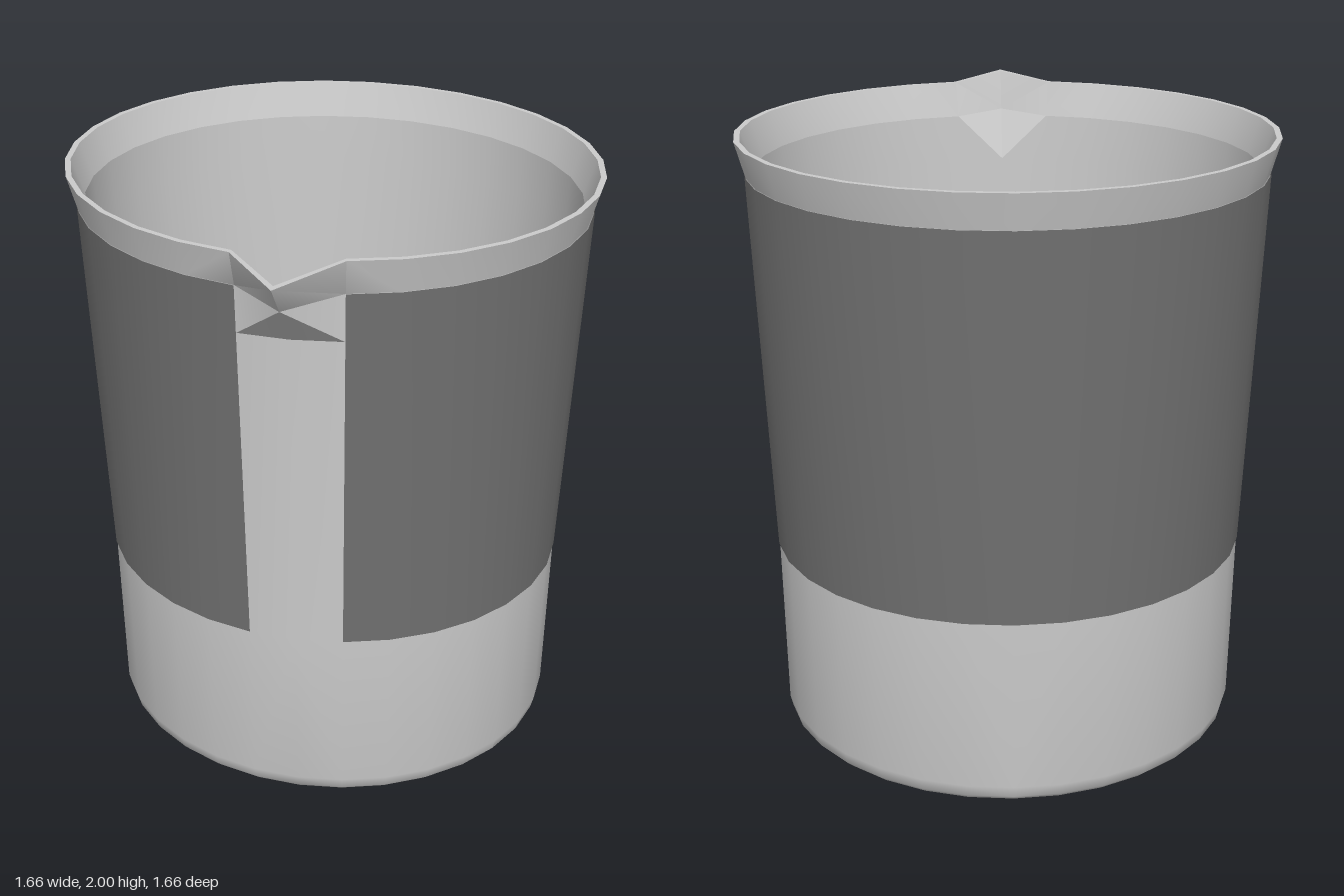
import * as THREE from 'three';
import { toCreasedNormals } from 'three/addons/utils/BufferGeometryUtils.js';

const SIDES = 32;
const DEPTH = 0.88;      // oval: depth relative to width
const CENTRE_Z = -0.1;   // the vessel sits back to make room for the spout

// Point on an oval ring. Column 0 is the front; frontZ pulls it out into the spout.
function ringPoint([y, r, frontZ], column) {
  const a = (column / SIDES) * Math.PI * 2;
  const atFront = column % SIDES === 0;
  const z = atFront && frontZ !== undefined ? frontZ : CENTRE_Z + DEPTH * r * Math.cos(a);
  return [r * Math.sin(a), y, z];
}

// Skin a list of rings [y, radius, frontZ] between two columns
function skin(name, rings, material, first = 0, last = SIDES) {
  const positions = [];
  for (let j = 0; j < rings.length - 1; j++) {
    const low = rings[j], high = rings[j + 1];
    for (let i = first; i < last; i++) {
      const a = ringPoint(low, i), b = ringPoint(low, i + 1);
      const c = ringPoint(high, i + 1), d = ringPoint(high, i);
      if (low[1] === 0) positions.push(...a, ...c, ...d);
      else if (high[1] === 0) positions.push(...a, ...b, ...c);
      else if (i < SIDES / 2) positions.push(...a, ...b, ...d, ...b, ...c, ...d);
      else positions.push(...a, ...b, ...c, ...a, ...c, ...d);
    }
  }
  const geometry = new THREE.BufferGeometry();
  geometry.setAttribute('position', new THREE.Float32BufferAttribute(positions, 3));
  const mesh = new THREE.Mesh(toCreasedNormals(geometry, 0.6), material);
  mesh.name = name;
  return mesh;
}

export function createModel() {
  const group = new THREE.Group();
  group.name = 'spoutedBeaker';
  const grey = new THREE.MeshStandardMaterial({ color: 0xcccccc, side: THREE.DoubleSide });
  const dark = new THREE.MeshStandardMaterial({ color: 0x707070, side: THREE.DoubleSide });

  // Outer wall: flat base, rounded foot, slight taper, underside of the spout
  group.add(skin('outerWall', [
    [0, 0], [0, 0.70], [0.008, 0.733], [0.03, 0.756], [0.07, 0.765],
    [0.66, 0.767], [1.74, 0.797], [1.89, 0.801, 0.73],
  ], grey));

  // Flared rim, drawn out to a point at the front
  group.add(skin('rim', [
    [1.89, 0.801, 0.73], [2, 0.83, 0.828], [2, 0.812, 0.80], [1.89, 0.776, 0.69],
  ], grey));

  // Inner wall and floor, with the spout's channel
  group.add(skin('innerWall', [
    [1.89, 0.776, 0.69], [1.74, 0.77], [0.66, 0.742], [0.09, 0.74],
    [0.05, 0.728], [0.03, 0.69], [0.03, 0],
  ], grey));

  // Dark band wrapped round the wall, open below the spout
  group.add(skin('darkBand', [[0.66, 0.77], [1.89, 0.804]], dark, 1, SIDES - 1));

  return group;
}
